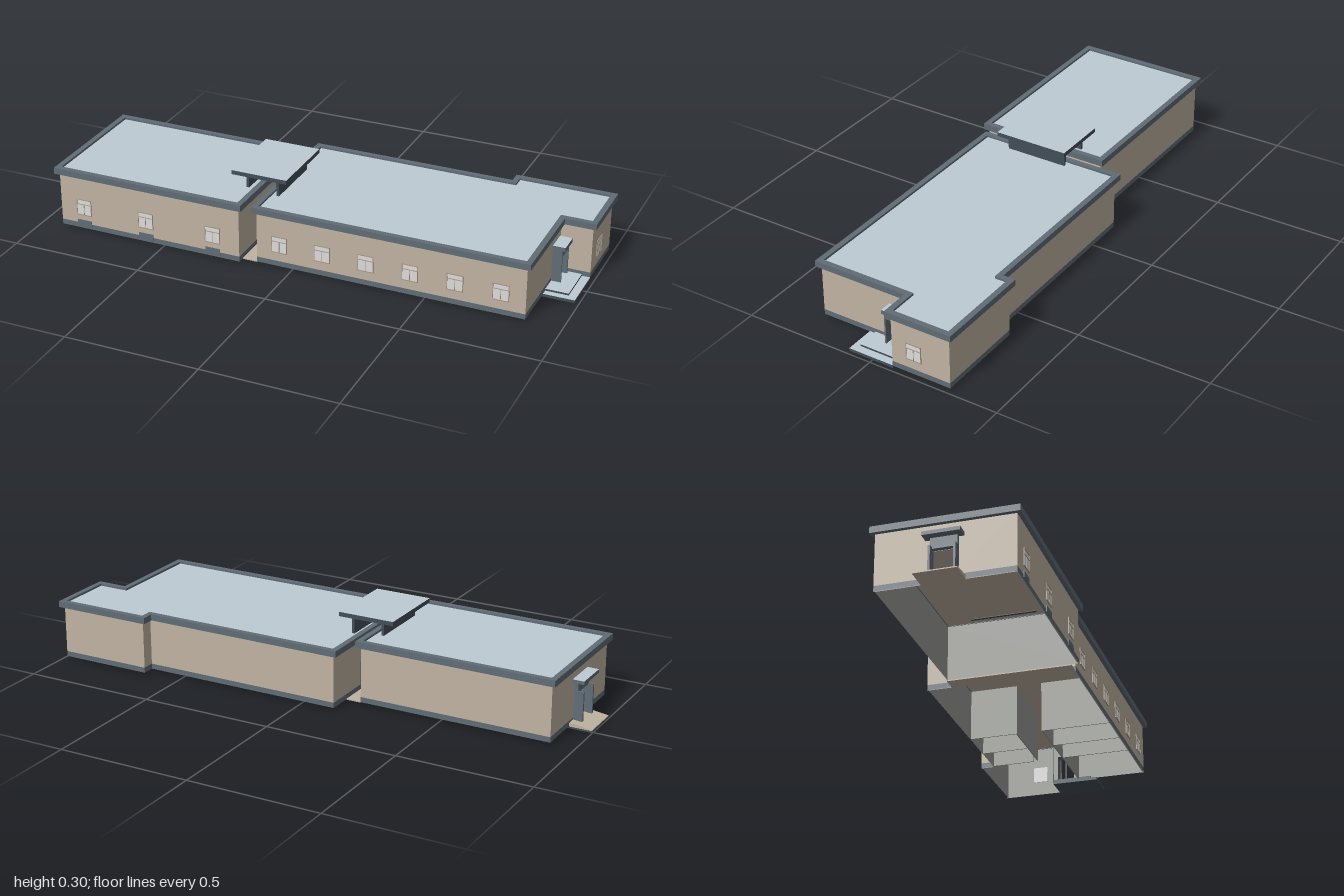
import * as THREE from 'three';

const mat = (name, color, side = THREE.FrontSide) => {
  const m = new THREE.MeshStandardMaterial({ color, side });
  m.name = name;
  return m;
};

export function createModel() {
  const tan = mat('tan wall', 0xbfb2a1);
  const grey = mat('interior grey', 0x979993, THREE.DoubleSide);
  const slate = mat('slate trim', 0x606c76);
  const dark = mat('dark slate', 0x424e58);
  const blue = mat('pale blue roof', 0xbdcbd4);
  const white = mat('window white', 0xdcdcdc);
  const brown = mat('window frame', 0xab9783);

  const model = new THREE.Group();
  model.name = 'building';

  const add = (parent, name, geo, material) => {
    const m = new THREE.Mesh(geo, material);
    m.name = name;
    parent.add(m);
    return m;
  };
  // Box given by its limits
  const box = (parent, name, material, x0, x1, y0, y1, z0, z1) => {
    const m = add(parent, name, new THREE.BoxGeometry(x1 - x0, y1 - y0, z1 - z0), material);
    m.position.set((x0 + x1) / 2, (y0 + y1) / 2, (z0 + z1) / 2);
    return m;
  };
  const topped = (side, top) => [side, side, top, side, side, side];

  // Offsets a right-angled outline outwards by d
  const offset = (pts, d) => pts.map((p, i) => {
    const n = pts.length;
    const normal = (a, b) => {
      const l = Math.hypot(b[0] - a[0], b[1] - a[1]);
      return [-(b[1] - a[1]) / l, (b[0] - a[0]) / l];
    };
    const n1 = normal(pts[(i + n - 1) % n], p), n2 = normal(p, pts[(i + 1) % n]);
    return [p[0] + d * (n1[0] + n2[0]), p[1] + d * (n1[1] + n2[1])];
  });
  const toPoints = (pts, s) => pts.map(([x, z]) => new THREE.Vector2(x, s * z));

  // Outer and inner skin of one wall, with an optional doorway [u0, u1, y0, y1]
  function wall(parent, a, b, top, door) {
    const len = Math.hypot(b[0] - a[0], b[1] - a[1]);
    const g = new THREE.Group();
    g.name = 'wall';
    g.position.set(a[0], 0, a[1]);
    g.rotation.y = Math.atan2(-(b[1] - a[1]), b[0] - a[0]);
    parent.add(g);
    const skin = (name, material, y0, y1, z) => {
      const rects = door
        ? [[0, door[0], y0, y1], [door[1], len, y0, y1],
          [door[0], door[1], Math.max(y0, door[3]), y1],
          [door[0], door[1], y0, Math.min(y1, door[2])]]
        : [[0, len, y0, y1]];
      for (const [u0, u1, v0, v1] of rects) {
        if (v1 - v0 < 0.001) continue;
        add(g, name, new THREE.PlaneGeometry(u1 - u0, v1 - v0), material)
          .position.set((u0 + u1) / 2, (v0 + v1) / 2, z);
      }
    };
    skin('outerWall', tan, 0.03, top, 0);
    skin('plinth', slate, 0.01, 0.03, 0);
    skin('innerWall', grey, 0.01, top, -0.004);
  }

  // Walls, raised roof edge, roof and ceiling of one block
  function block(name, pts, y0, y1, doors) {
    const g = new THREE.Group();
    g.name = name;
    model.add(g);
    pts.forEach((p, i) => wall(g, p, pts[(i + 1) % pts.length], y0 + 0.005, doors[i]));
    const ring = new THREE.Shape(toPoints(offset(pts, 0.015), -1));
    ring.holes.push(new THREE.Path(toPoints(offset(pts, -0.006), -1)));
    const edge = new THREE.ExtrudeGeometry(ring, { depth: y1 - y0, bevelEnabled: false });
    add(g, 'roofEdge', edge.rotateX(-Math.PI / 2), slate).position.y = y0;
    const roof = new THREE.ShapeGeometry(new THREE.Shape(toPoints(pts, -1)));
    add(g, 'roof', roof.rotateX(-Math.PI / 2), blue).position.y = y1 - 0.008;
    const ceiling = new THREE.ShapeGeometry(new THREE.Shape(toPoints(pts, 1)));
    add(g, 'ceiling', ceiling.rotateX(Math.PI / 2), tan).position.y = y0 + 0.002;
    return g;
  }

  block('smallBlock',
    [[-0.915, 0.312], [-0.19, 0.312], [-0.19, -0.172], [-0.915, -0.172]],
    0.218, 0.242, { 3: [0.202, 0.282, 0.02, 0.125] });
  const large = block('largeBlock',
    [[-0.133, 0.285], [0.87, 0.285], [0.87, -0.083], [0.985, -0.083],
      [0.985, -0.312], [0.635, -0.312], [0.635, -0.265], [-0.133, -0.265]],
    0.207, 0.23, { 1: [0.285, 0.35, 0.018, 0.117], 7: [0.2, 0.265, 0.018, 0.117] });

  // Room partitions
  for (const [x0, x1, z0, z1] of [
    [0.35, 0.865, 0.018, 0.022], [0.35, 0.63, -0.082, -0.078],
    [0.348, 0.352, 0.02, 0.28], [0.498, 0.502, 0.02, 0.28], [0.628, 0.632, 0.02, 0.28],
    [0.348, 0.352, -0.26, -0.08], [0.498, 0.502, -0.26, -0.08], [0.633, 0.637, -0.26, -0.1],
  ]) box(large, 'partition', grey, x0, x1, 0.012, 0.208, z0, z1);

  // Windows with a transom and a lower mullion
  function addWindow(x, z, turn) {
    const g = new THREE.Group();
    g.name = 'window';
    g.position.set(x, 0.095, z);
    g.rotation.y = turn;
    model.add(g);
    box(g, 'pane', white, -0.029, 0.029, -0.031, 0.031, -0.007, 0.0015);
    const bar = (x0, x1, y0, y1) => box(g, 'windowFrame', brown, x0, x1, y0, y1, -0.002, 0.003);
    bar(-0.03, 0.03, 0.029, 0.032);
    bar(-0.03, 0.03, -0.032, -0.029);
    bar(-0.03, -0.0275, -0.032, 0.032);
    bar(0.0275, 0.03, -0.032, 0.032);
    bar(-0.03, 0.03, 0.011, 0.0135);
    bar(-0.001, 0.001, -0.03, 0.012);
  }
  for (let i = 0; i < 6; i++) addWindow(-0.045 + i * 0.165, 0.285, 0);
  for (const x of [-0.82, -0.565, -0.295]) {
    addWindow(x, 0.312, 0);
    box(model, 'basementVent', slate, x - 0.029, x + 0.029, 0.02, 0.043, 0.308, 0.315);
  }
  addWindow(0.985, -0.17, Math.PI / 2);

  // Open passage between the blocks with its raised canopy
  box(model, 'passageFloor', tan, -0.19, -0.133, 0.008, 0.012, -0.172, 0.285);
  box(model, 'canopyRoof', topped(dark, blue), -0.275, -0.06, 0.286, 0.302, -0.095, 0.191);
  for (const x of [-0.222, -0.105])
    box(model, 'canopySupport', dark, x - 0.005, x + 0.005, 0.218, 0.286, -0.072, 0.168);
  for (const z of [-0.065, -0.033, 0])
    box(model, 'passageDoorFrame', dark, -0.136, -0.128, 0.018, 0.12, z - 0.003, z + 0.003);
  box(model, 'passageDoorFrame', dark, -0.136, -0.128, 0.114, 0.12, -0.068, 0.003);

  // Entrance on the large block
  box(model, 'lowerStep', topped(dark, blue), 0.86, 0.985, 0, 0.011, -0.083, 0.095);
  box(model, 'upperStep', topped(dark, blue), 0.86, 0.955, 0.011, 0.018, -0.082, 0.07);
  for (const z of [-0.069, 0.003])
    box(model, 'porchSide', slate, 0.868, 0.905, 0.018, 0.117, z - 0.003, z + 0.003);
  box(model, 'doorMullion', slate, 0.868, 0.874, 0.018, 0.117, -0.034, -0.03);
  box(model, 'porchLintel', slate, 0.868, 0.905, 0.117, 0.142, -0.072, 0.006);
  box(model, 'porchRoof', topped(slate, blue), 0.868, 0.916, 0.142, 0.157, -0.073, 0.008);

  // Entrance on the small block with a low ramp
  const ramp = new THREE.Shape([[-1, 0.008], [-0.9, 0.008], [-0.9, 0.022], [-0.925, 0.022], [-1, 0.012]]
    .map(([x, y]) => new THREE.Vector2(x, y)));
  add(model, 'ramp', new THREE.ExtrudeGeometry(ramp, { depth: 0.15, bevelEnabled: false }), tan)
    .position.z = -0.01;
  for (const z of [0.027, 0.113])
    box(model, 'porchSide', slate, -0.95, -0.913, 0.02, 0.13, z - 0.004, z + 0.004);
  box(model, 'porchLintel', slate, -0.93, -0.913, 0.125, 0.165, 0.023, 0.117);
  box(model, 'porchRoof', topped(slate, blue), -0.958, -0.913, 0.165, 0.178, 0.003, 0.135);

  return model;
}
